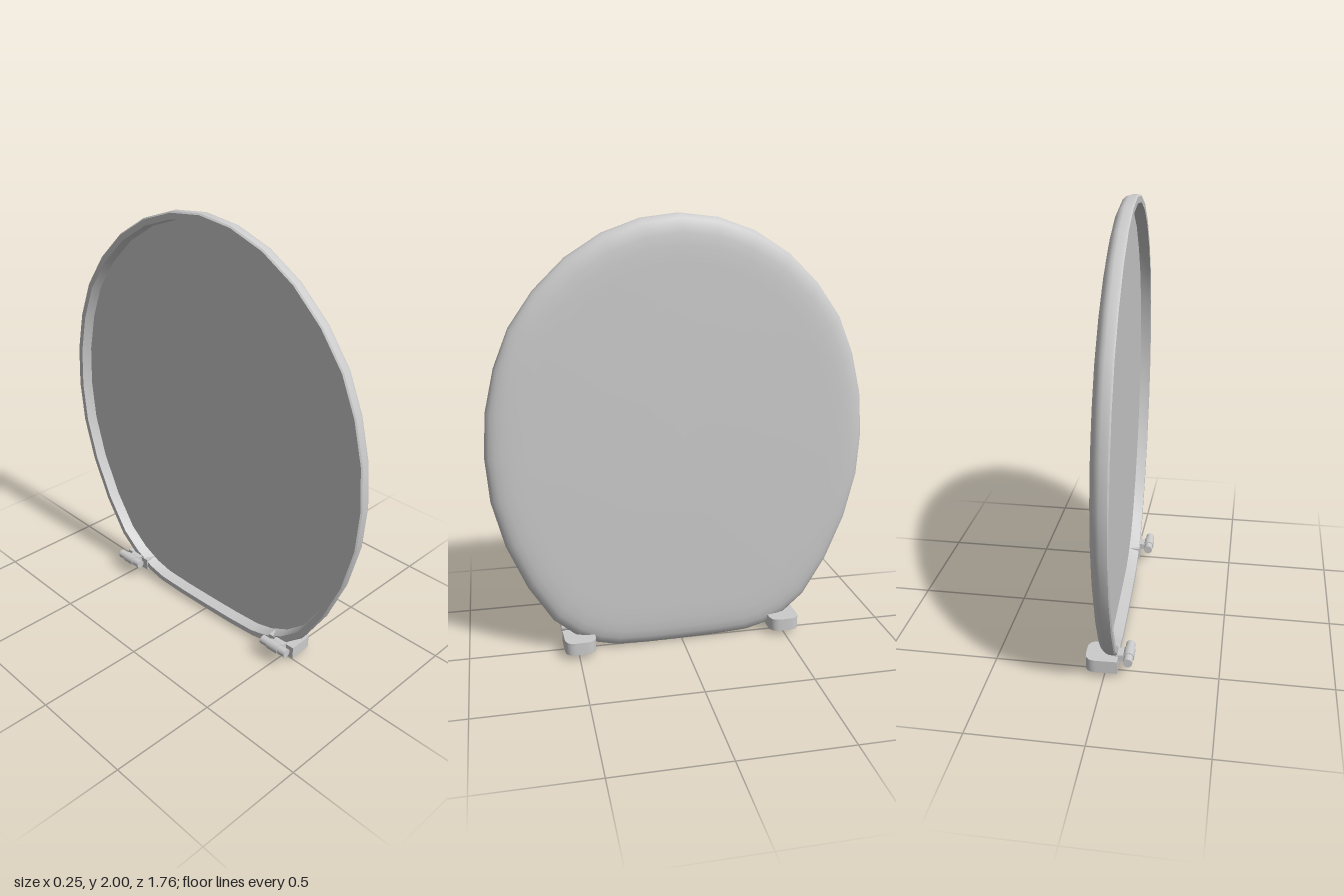
import * as THREE from 'three';
import { toCreasedNormals } from 'three/addons/utils/BufferGeometryUtils.js';

const YAW = 0.034, PITCH = 0.015;

// Right half of the lid outline as [z, y], from the top down
const half = [
  [0, 2], [0.17, 1.98], [0.34, 1.92], [0.5, 1.82], [0.64, 1.685], [0.75, 1.53],
  [0.82, 1.36], [0.865, 1.17], [0.88, 0.97], [0.865, 0.77], [0.81, 0.555],
  [0.72, 0.345], [0.61, 0.17], [0.51, 0.085], [0.41, 0.035], [0.32, 0.013], [0.17, 0.006],
];

// Lid section as [scale of outline, depth], from front centre over the rim to the recessed back
const section = [
  [0, 0.088], [0.8, 0.088], [0.87, 0.086], [0.92, 0.082], [0.955, 0.075], [0.98, 0.064],
  [0.995, 0.05], [1, 0.036], [1, 0.006], [0.994, 0], [0.967, 0], [0.958, 0.05], [0, 0.05],
];

function lidGeometry() {
  const outline = [...half, [0, 0.005], ...half.slice(1).reverse().map(([z, y]) => [-z, y])];
  const n = outline.length, last = section.length - 1;
  const positions = [], index = [];
  for (const [s, depth] of section) {
    for (const [z, y] of outline) positions.push(depth, (y - 1) * s, z * s);
  }
  for (let i = 0; i < last; i++) {
    for (let j = 0; j < n; j++) {
      const k = (j + 1) % n;
      const a = i * n + j, c = i * n + k, b = a + n, d = c + n;
      if (i === 0) index.push(a, b, d);
      else if (i === last - 1) index.push(a, b, c);
      else index.push(a, b, c, c, b, d);
    }
  }
  const geo = new THREE.BufferGeometry();
  geo.setAttribute('position', new THREE.Float32BufferAttribute(positions, 3));
  geo.setIndex(index);
  return toCreasedNormals(geo, 0.6);
}

// Rectangle whose two front (+x) corners are rounded
function blockOutline(x0, x1, w, r, Path) {
  const p = new Path();
  p.moveTo(x0, -w);
  p.lineTo(x1 - r, -w);
  p.quadraticCurveTo(x1, -w, x1, -w + r);
  p.lineTo(x1, w - r);
  p.quadraticCurveTo(x1, w, x1 - r, w);
  p.lineTo(x0, w);
  p.closePath();
  return p;
}

function extrudeUp(shape, y, height) {
  const geo = new THREE.ExtrudeGeometry(shape, { depth: height, bevelEnabled: false, curveSegments: 6 });
  geo.rotateX(-Math.PI / 2);
  geo.translate(0, y, 0);
  return toCreasedNormals(geo, 0.6);
}

export function createModel() {
  const model = new THREE.Group();
  const material = new THREE.MeshStandardMaterial({ color: 0xcccccc });
  const add = (parent, name, geo, x = 0, y = 0, z = 0) => {
    const mesh = new THREE.Mesh(geo, material);
    mesh.name = name;
    mesh.position.set(x, y, z);
    parent.add(mesh);
    return mesh;
  };

  // Dished lid, leaning slightly back
  const lid = add(model, 'lid', lidGeometry(), -0.05, 1, 0);
  lid.rotation.set(0, YAW, PITCH);

  // Hinges: block hollow from below, with an arm and a pin behind the rim
  const walls = blockOutline(-0.04, 0.103, 0.072, 0.05, THREE.Shape);
  walls.holes.push(blockOutline(-0.028, 0.09, 0.06, 0.042, THREE.Path));
  const wallGeo = extrudeUp(walls, 0.032, 0.05);
  const capGeo = extrudeUp(blockOutline(-0.04, 0.103, 0.072, 0.05, THREE.Shape), 0.082, 0.01);
  const pinGeo = new THREE.CylinderGeometry(0.021, 0.021, 0.145, 16).rotateX(Math.PI / 2);
  const collarGeo = new THREE.CylinderGeometry(0.025, 0.025, 0.06, 16).rotateX(Math.PI / 2);
  const armGeo = new THREE.BoxGeometry(0.06, 0.03, 0.06);

  for (const side of [1, -1]) {
    const hinge = new THREE.Group();
    hinge.name = side > 0 ? 'leftHinge' : 'rightHinge';
    hinge.position.set(0.5 * YAW * side, 0, 0.495 * side);
    hinge.rotation.y = YAW;
    add(hinge, 'hingeBlock', wallGeo);
    add(hinge, 'hingeBlockTop', capGeo);
    add(hinge, 'hingeArm', armGeo, -0.055, 0.083, 0);
    add(hinge, 'hingePin', pinGeo, -0.086, 0.09, 0);
    add(hinge, 'hingeCollar', collarGeo, -0.086, 0.09, 0);
    model.add(hinge);
  }
  return model;
}
